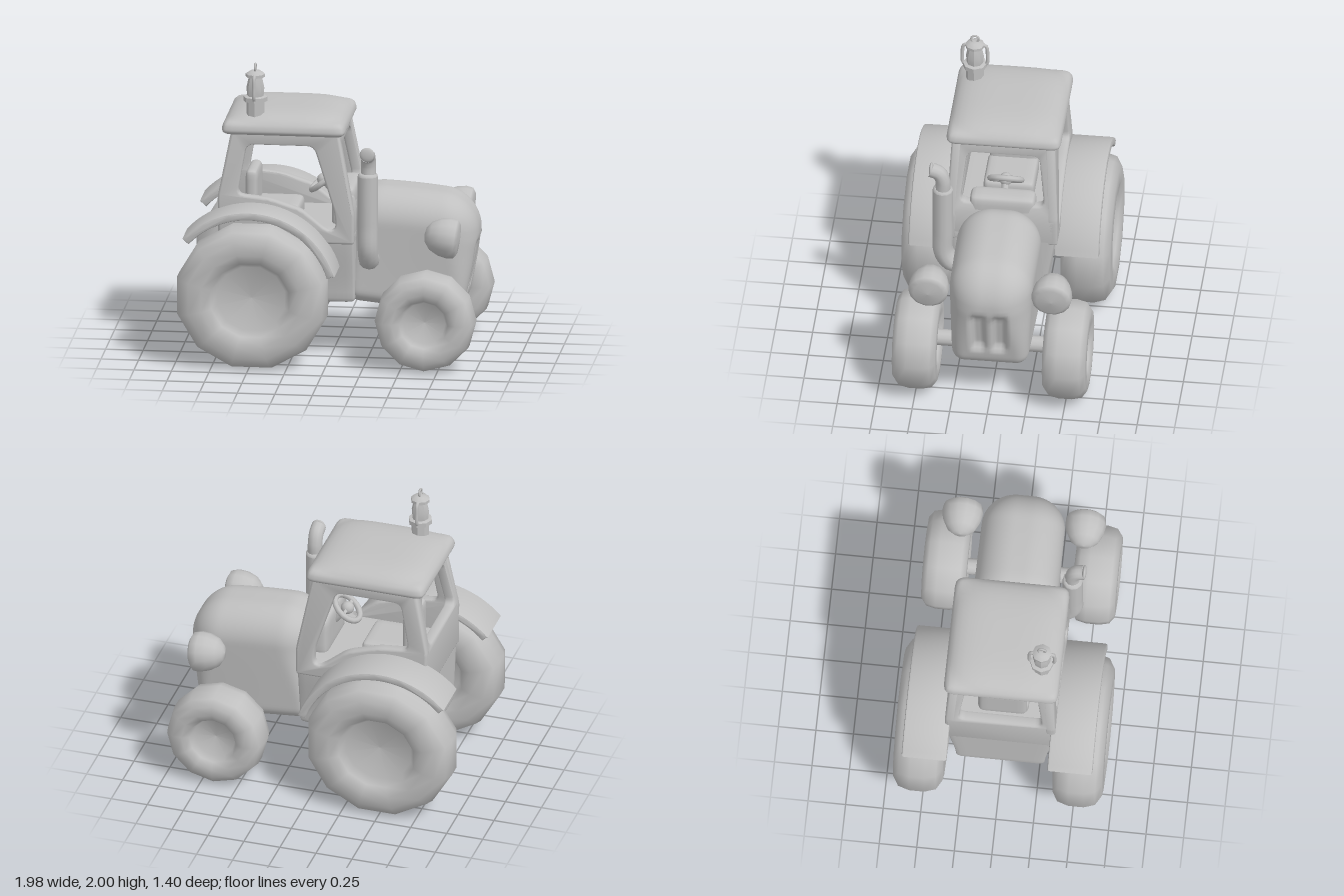
import * as THREE from 'three';
import { mergeVertices, toCreasedNormals } from 'three/addons/utils/BufferGeometryUtils.js';

const clay = new THREE.MeshStandardMaterial({ color: 0xc0c0c0 });
clay.name = 'clay grey';

const V = (x, y, z) => new THREE.Vector3(x, y, z);
const clamp = THREE.MathUtils.clamp;
const smooth = THREE.MathUtils.smoothstep;

// Applies a rule to every vertex
function warpGeometry(geo, rule) {
  const pos = geo.attributes.position;
  const p = V(0, 0, 0);
  for (let i = 0; i < pos.count; i++) {
    rule(p.fromBufferAttribute(pos, i));
    pos.setXYZ(i, p.x, p.y, p.z);
  }
  return geo;
}

// Smooth box between two corners, r(y) is the edge radius; the grid is denser near the edges
function softBox(min, max, r, seg = 10, rule = () => {}) {
  const half = max.clone().sub(min).multiplyScalar(0.5);
  const mid = max.clone().add(min).multiplyScalar(0.5);
  const geo = new THREE.BoxGeometry(2, 2, 2, seg, seg, seg);
  geo.deleteAttribute('uv');
  geo.deleteAttribute('normal');
  const inner = V(0, 0, 0);
  warpGeometry(geo, (p) => {
    for (const a of ['x', 'y', 'z']) p[a] = Math.sin(p[a] * Math.PI / 2) * half[a];
    const rad = typeof r === 'function' ? r(p.y / half.y) : r;
    for (const a of ['x', 'y', 'z']) inner[a] = clamp(p[a], rad - half[a], half[a] - rad);
    p.sub(inner).setLength(rad).add(inner).add(mid);
    rule(p);
  });
  const merged = mergeVertices(geo, 1e-5);
  merged.computeVertexNormals();
  return merged;
}

// Polygon with rounded corners
function roundedPath(path, pts, r) {
  const P = pts.map(([x, y]) => new THREE.Vector2(x, y));
  P.forEach((c, i) => {
    const a = P[(i + P.length - 1) % P.length], b = P[(i + 1) % P.length];
    const toward = (q) => c.clone().add(q.clone().sub(c).setLength(Math.min(r, c.distanceTo(q) * 0.45)));
    const s = toward(a), e = toward(b);
    if (i) path.lineTo(s.x, s.y); else path.moveTo(s.x, s.y);
    path.quadraticCurveTo(c.x, c.y, e.x, e.y);
  });
  path.closePath();
  return path;
}

// Bevelled plate spanning 0..depth in z
function plate(shape, depth, bevel = 0.015) {
  const geo = new THREE.ExtrudeGeometry(shape, {
    depth: depth - 2 * bevel, bevelThickness: bevel, bevelSize: bevel,
    bevelOffset: -bevel, bevelSegments: 2, curveSegments: 4,
  });
  return geo.translate(0, 0, bevel);
}

function framePlate(outer, hole, depth) {
  const shape = roundedPath(new THREE.Shape(), outer, 0.02);
  shape.holes.push(roundedPath(new THREE.Path(), hole, 0.05));
  return plate(shape, depth);
}

const tube = (pts, r, n = 20, sides = 12) =>
  new THREE.TubeGeometry(new THREE.CatmullRomCurve3(pts), n, r, sides);
const lathe = (pts, sides) =>
  new THREE.LatheGeometry(pts.map(([x, y]) => new THREE.Vector2(x, y)), sides);

// Fat tyre with a dished hub on both faces, axis along z
function wheelGeometry(R, h, q) {
  const side = [[0, 0.35 * h], [q * 0.97, 0.5 * h], [q * 1.12, 0.84 * h], [q + 0.35 * (R - q), h],
    [q + 0.68 * (R - q), 0.97 * h], [R * 0.955, 0.74 * h], [R, 0.3 * h]];
  const profile = side.map(([x, y]) => [x, -y]).concat([...side].reverse());
  return lathe(profile, 12).rotateX(Math.PI / 2);
}

export function createModel() {
  const model = new THREE.Group();
  model.name = 'tractor';
  const add = (name, geo, parent = model) => {
    const mesh = new THREE.Mesh(geo, clay);
    mesh.name = name;
    parent.add(mesh);
    return mesh;
  };

  // Hood: rounded nose, sloping top, two grille recesses
  add('hood', softBox(V(0.1, 0.34, -0.28), V(0.97, 1.14, 0.28),
    (v) => 0.09 + 0.14 * smooth(v, -0.8, 0.6), 40, (p) => {
      const t = clamp((p.x - 0.17) / 0.8, 0, 1);
      const up = smooth(p.y, 0.34, 1.14);
      const z = Math.abs(p.z);
      if (p.x > 0.88) {
        const slot = smooth(z, 0.01, 0.04) * (1 - smooth(z, 0.105, 0.14))
          * smooth(p.y, 0.47, 0.54) * (1 - smooth(p.y, 0.78, 0.86));
        p.x -= 0.045 * slot;
      }
      p.x -= 0.2 * Math.max(0, 0.85 - p.y) * t;
      p.y += (0.04 - 0.08 * t) * (1 - up) - 0.07 * t * t * up;
      p.z *= 1 - 0.1 * (1 - up) * t;
    }));

  // Cab
  const cab = new THREE.Group();
  cab.name = 'cab';
  model.add(cab);
  add('cabTub', softBox(V(-0.73, 0.38, -0.36), V(0.17, 0.9, 0.36), 0.04, 12, (p) => {
    p.z *= 0.83 + 0.17 * smooth(p.y, 0.38, 0.9);
  }), cab);

  const sideOuter = [[-0.73, 0.8], [0.17, 0.8], [0.17, 1.0], [0.06, 1.56], [-0.65, 1.56], [-0.74, 1.1]];
  const sideWindow = [[-0.61, 1.12], [-0.4, 1.1], [-0.18, 1.03], [-0.01, 0.89], [0.05, 0.9],
    [0.04, 1.02], [-0.1, 1.46], [-0.55, 1.46]];
  for (const s of [1, -1]) {
    const geo = framePlate(sideOuter, sideWindow, 0.07).translate(0, 0, s > 0 ? 0.3 : -0.37);
    warpGeometry(geo, (p) => { p.z -= s * 0.05 * Math.max(0, p.y - 1.05); });
    add(s > 0 ? 'leftSideFrame' : 'rightSideFrame', toCreasedNormals(geo, 0.8), cab);
  }

  // Front and rear frames lean toward the roof
  const endFrame = (name, x, bottom, leanFrom, lean) => {
    const outer = [[-0.36, 0.8], [0.36, 0.8], [0.36, leanFrom], [0.34, 1.56], [-0.34, 1.56], [-0.36, leanFrom]];
    const hole = [[-0.28, bottom], [0.28, bottom], [0.24, 1.46], [-0.24, 1.46]];
    const geo = framePlate(outer, hole, 0.07).rotateY(Math.PI / 2).translate(x, 0, 0);
    warpGeometry(geo, (p) => { p.x += lean * Math.max(0, p.y - leanFrom); });
    add(name, toCreasedNormals(geo, 0.8), cab);
  };
  endFrame('windscreenFrame', 0.1, 1.1, 1.0, -0.2);
  endFrame('rearFrame', -0.74, 1.13, 1.1, 0.2);

  add('roof', softBox(V(-0.72, 1.525, -0.385), V(0.11, 1.675, 0.385), 0.06, 16, (p) => {
    const x = (p.x + 0.305) / 0.415, z = p.z / 0.385;
    const up = (p.y - 1.525) / 0.15;
    p.y -= 0.05 * up * Math.min(1, x ** 4 + z ** 4);
    const inset = 1 - 0.06 * up * up;
    p.x = -0.305 + (p.x + 0.305) * inset;
    p.z *= inset;
  }), cab);

  // Cab interior
  add('seatCushion', softBox(V(-0.56, 0.86, -0.17), V(-0.22, 1.0, 0.17), 0.04), cab);
  add('seatBack', softBox(V(-0.58, 0.9, -0.16), V(-0.5, 1.23, 0.16), 0.035), cab);
  add('dashboard', softBox(V(0.0, 0.86, -0.22), V(0.16, 1.15, 0.22), 0.05), cab);
  const steering = new THREE.Group();
  steering.name = 'steeringWheel';
  steering.position.set(-0.075, 1.145, 0);
  steering.rotation.z = 0.7;
  cab.add(steering);
  add('steeringRim', new THREE.TorusGeometry(0.105, 0.02, 8, 16).rotateX(Math.PI / 2), steering);
  add('steeringHub', new THREE.SphereGeometry(0.045, 10, 8), steering);
  add('steeringColumn', new THREE.CylinderGeometry(0.025, 0.025, 0.2, 8).translate(0, -0.1, 0), steering);
  add('steeringSpoke', new THREE.BoxGeometry(0.02, 0.015, 0.2), steering);

  // Wheels, fenders and headlights on both sides
  const rear = wheelGeometry(0.495, 0.17, 0.23).rotateZ(Math.PI / 12).scale(1.04, 1, 1);
  const front = wheelGeometry(0.335, 0.148, 0.145);
  const arch = new THREE.Shape();
  arch.absarc(0, 0, 0.6, 0.3, 2.4, false);
  arch.absarc(0, 0, 0.545, 2.4, 0.3, true);
  arch.closePath();
  const fender = toCreasedNormals(new THREE.ExtrudeGeometry(arch, {
    depth: 0.27, bevelThickness: 0.015, bevelSize: 0.015, bevelOffset: -0.015, bevelSegments: 2, curveSegments: 14,
  }), 0.7);
  const lamp = lathe([[0, -0.125], [0.05, -0.115], [0.095, -0.08], [0.125, -0.02], [0.136, 0.04],
    [0.13, 0.085], [0.1, 0.105], [0, 0.115]], 14).rotateZ(-Math.PI / 2);
  for (const s of [1, -1]) {
    const side = s > 0 ? 'left' : 'right';
    add(side + 'RearWheel', rear).position.set(-0.485, 0.478, s * 0.53);
    add(side + 'FrontWheel', front).position.set(0.665, 0.335, s * 0.5);
    add(side + 'Fender', fender).position.set(-0.5, 0.47, s > 0 ? 0.35 : -0.62);
    const light = add(side + 'Headlight', lamp);
    light.position.set(0.77, 0.885, s * 0.41);
    light.rotation.z = -0.12;
  }
  add('frontAxle', new THREE.CylinderGeometry(0.055, 0.055, 0.95, 12).rotateX(Math.PI / 2)).position.set(0.635, 0.335, 0);
  add('rearAxle', new THREE.CylinderGeometry(0.07, 0.07, 1.0, 12).rotateX(Math.PI / 2)).position.set(-0.49, 0.478, 0);

  // Exhaust: thick stack curving into the hood, thin bent tip
  const ex = 0.265;
  add('exhaustStack', tube([V(ex, 0.69, 0.24), V(ex, 0.69, 0.32), V(ex, 0.77, 0.375), V(ex, 0.95, 0.38),
    V(ex, 1.28, 0.38)], 0.068, 24));
  add('exhaustCollar', lathe([[0.068, 1.27], [0.066, 1.29], [0.05, 1.3], [0, 1.3]], 12)).position.set(ex, 0, 0.38);
  const tip = tube([V(ex, 1.26, 0.38), V(ex, 1.36, 0.38), V(ex, 1.42, 0.405), V(ex, 1.445, 0.46)], 0.05, 16);
  const tipMesh = add('exhaustTip', tip);
  tipMesh.position.x = 0.005;
  add('exhaustMouth', new THREE.SphereGeometry(0.05, 12, 8).scale(1, 1, 0.3)).position.set(ex + 0.005, 1.445, 0.457);

  // Roof lantern
  const lantern = new THREE.Group();
  lantern.name = 'roofLantern';
  lantern.position.set(-0.5, 0, 0.255);
  model.add(lantern);
  add('lanternBody', toCreasedNormals(lathe([[0, 1.63], [0.06, 1.63], [0.06, 1.735], [0.08, 1.74], [0.08, 1.77],
    [0.055, 1.775], [0.06, 1.83], [0.045, 1.9], [0.065, 1.905], [0.065, 1.925], [0.035, 1.945], [0, 1.95]], 8), 0.7), lantern);
  for (const s of [1, -1]) {
    add('lanternRail', tube([V(0, 1.92, s * 0.05), V(0, 1.91, s * 0.075), V(0, 1.84, s * 0.084),
      V(0, 1.77, s * 0.08), V(0, 1.75, s * 0.055)], 0.012, 14, 8), lantern);
  }
  add('lanternRing', new THREE.TorusGeometry(0.025, 0.008, 6, 12).rotateY(Math.PI / 2), lantern).position.y = 1.967;
  return model;
}
